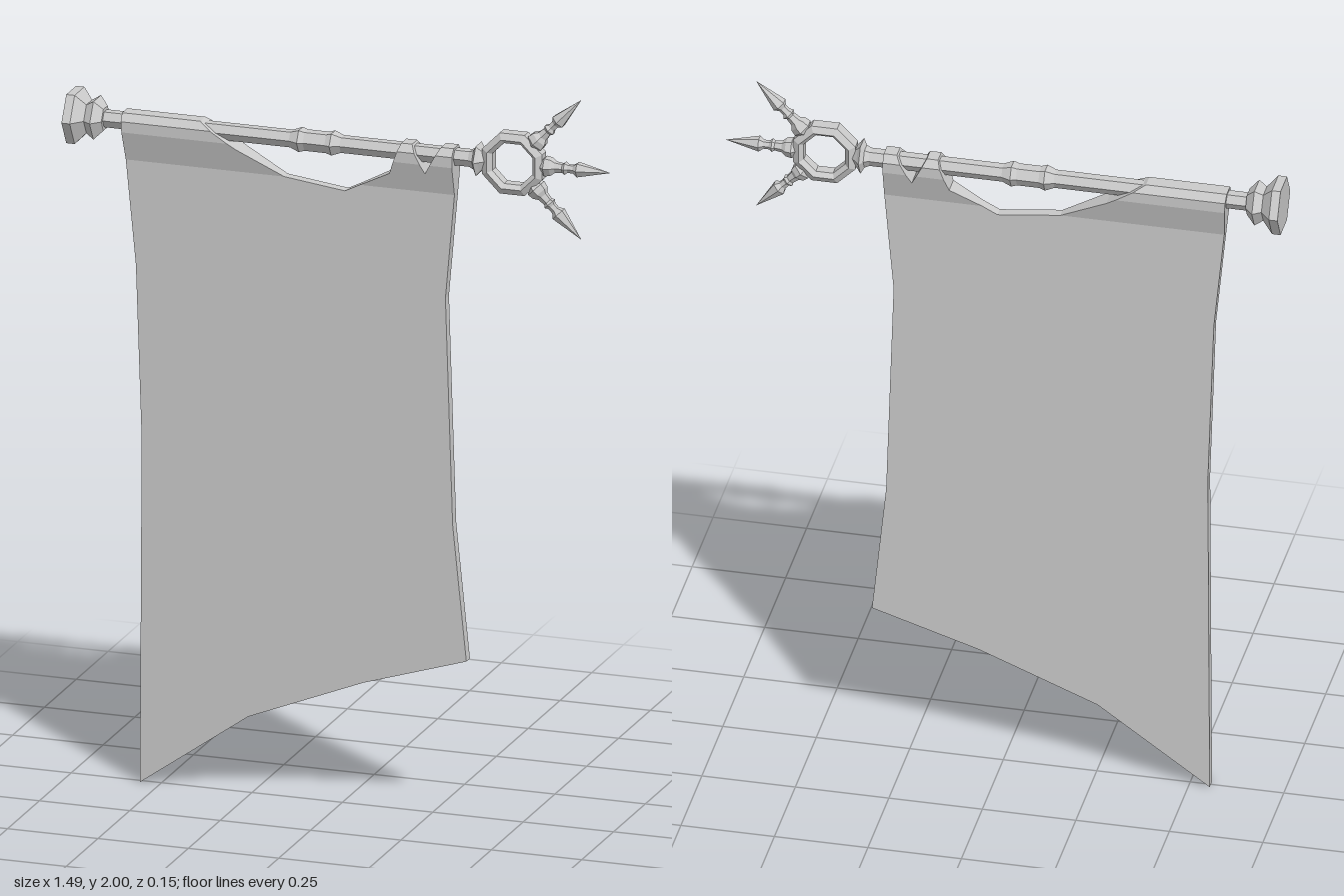
import * as THREE from 'three';

const material = new THREE.MeshStandardMaterial({ color: 0xcccccc, flatShading: true, side: THREE.DoubleSide });
const POLE_Y = 1.808;
const RING_X = 0.475;

// Turned part whose profile [position, radius] runs along +x
function turned(name, profile, sides) {
  const geo = new THREE.LatheGeometry(profile.map(([p, r]) => new THREE.Vector2(r, p)), sides);
  geo.rotateZ(-Math.PI / 2);
  const mesh = new THREE.Mesh(geo, material);
  mesh.name = name;
  return mesh;
}

// Piecewise linear lookup in [key, value] pairs with rising keys
function lookup(table, k) {
  if (k <= table[0][0]) return table[0][1];
  for (let i = 1; i < table.length; i++) {
    const [k0, v0] = table[i - 1], [k1, v1] = table[i];
    if (k <= k1) return v0 + (v1 - v0) * (k - k0) / (k1 - k0);
  }
  return table[table.length - 1][1];
}

// Hanging cloth: a front and back grid, swollen into a sleeve round the pole, with a torn top
function makeCloth() {
  const left = [[0, -0.555], [0.945, -0.55], [1.42, -0.566], [1.706, -0.594], [1.835, -0.602]];
  const right = [[0.43, 0.348], [0.8, 0.31], [1.42, 0.29], [1.706, 0.315], [1.835, 0.315]];
  const thick = [[1.706, 0.014], [1.786, 0.035], [1.815, 0.035], [1.835, 0.02]];
  const top = [[-0.602, 1.835], [-0.386, 1.835], [-0.285, 1.77], [-0.16, 1.706], [0.01, 1.685], [0.138, 1.75],
    [0.17, 1.835], [0.2, 1.835], [0.238, 1.76], [0.28, 1.835], [0.315, 1.835]].map(([x, y]) => [(x + 0.602) / 0.917, y]);
  const bottom = [[0, 0.002], [0.331, 0.214], [0.683, 0.341], [1, 0.43]];
  const levels = [2, 1.815, 1.786, 1.706, 1.42, 0.945, 0.8, -1];

  // Columns at every outline point and wherever the torn edge crosses a level
  const us = [...top, ...bottom].map((p) => p[0]);
  for (let i = 1; i < top.length; i++) {
    const [u0, y0] = top[i - 1], [u1, y1] = top[i];
    for (const l of levels) if ((l - y0) * (l - y1) < 0) us.push(u0 + (u1 - u0) * (l - y0) / (y1 - y0));
  }
  us.sort((a, b) => a - b);
  const cols = us.filter((u, i) => i === 0 || u - us[i - 1] > 1e-5);

  const point = (c, r, side) => {
    const u = cols[c];
    const y = Math.min(lookup(top, u), Math.max(lookup(bottom, u), levels[r]));
    const x = THREE.MathUtils.lerp(lookup(left, y), lookup(right, y), u);
    return new THREE.Vector3(x, y, side * lookup(thick, y));
  };
  const pos = [];
  const tri = (a, b, c) => {
    const area = b.clone().sub(a).cross(c.clone().sub(a)).length();
    if (area > 1e-8) for (const p of [a, b, c]) pos.push(p.x, p.y, p.z);
  };
  const quad = (a, b, c, d) => { tri(a, b, c); tri(a, c, d); };

  const C = cols.length - 1, R = levels.length - 1;
  for (let c = 0; c < C; c++) {
    for (let r = 0; r < R; r++) {
      quad(point(c, r + 1, 1), point(c + 1, r + 1, 1), point(c + 1, r, 1), point(c, r, 1));
      quad(point(c + 1, r + 1, -1), point(c, r + 1, -1), point(c, r, -1), point(c + 1, r, -1));
    }
    // top and bottom edges
    quad(point(c, 0, 1), point(c + 1, 0, 1), point(c + 1, 0, -1), point(c, 0, -1));
    quad(point(c, R, -1), point(c + 1, R, -1), point(c + 1, R, 1), point(c, R, 1));
  }
  // side edges
  for (let r = 0; r < R; r++) {
    quad(point(0, r + 1, -1), point(0, r + 1, 1), point(0, r, 1), point(0, r, -1));
    quad(point(C, r + 1, 1), point(C, r + 1, -1), point(C, r, -1), point(C, r, 1));
  }
  const geo = new THREE.BufferGeometry();
  geo.setAttribute('position', new THREE.Float32BufferAttribute(pos, 3));
  geo.computeVertexNormals();
  const mesh = new THREE.Mesh(geo, material);
  mesh.name = 'cloth';
  return mesh;
}

export function createModel() {
  const group = new THREE.Group();
  group.name = 'banner';
  group.add(makeCloth());

  // Horizontal pole with a banded grip in the middle and a flared collar
  const pole = turned('pole', [[-0.67, 0.024], [-0.14, 0.024], [-0.115, 0.034], [-0.1, 0.029], [-0.04, 0.029],
    [-0.025, 0.034], [0, 0.024], [0.355, 0.024], [0.368, 0.03], [0.377, 0.047], [0.385, 0.036], [0.4, 0.02], [0.4, 0]], 6);

  // Six-sided end cap
  const cap = turned('endCap', [[-0.75, 0], [-0.75, 0.077], [-0.727, 0.077], [-0.7, 0.045], [-0.678, 0.06],
    [-0.655, 0.034], [-0.655, 0]], 6);
  for (const part of [pole, cap]) {
    part.position.y = POLE_Y;
    group.add(part);
  }

  // Eight-sided ring facing the front
  const section = [[0.06, -0.014], [0.072, -0.026], [0.09, -0.016], [0.09, 0.016], [0.072, 0.026], [0.06, 0.014], [0.06, -0.014]];
  const ringGeo = new THREE.LatheGeometry(section.map(([r, z]) => new THREE.Vector2(r, z)), 8, Math.PI / 8);
  ringGeo.rotateX(Math.PI / 2);
  const ring = new THREE.Mesh(ringGeo, material);
  ring.name = 'ring';
  ring.position.set(RING_X, POLE_Y, 0);
  group.add(ring);

  // Three spikes fanning out from the ring
  for (const [name, angle] of [['upperSpike', 0.8], ['middleSpike', 0], ['lowerSpike', -0.8]]) {
    const spike = turned(name, [[0.075, 0.018], [0.088, 0.028], [0.104, 0.025], [0.115, 0.016], [0.135, 0.013],
      [0.142, 0.018], [0.15, 0.012], [0.165, 0.012], [0.177, 0.021], [0.267, 0]], 6);
    spike.position.copy(ring.position);
    spike.rotation.z = angle;
    group.add(spike);
  }
  return group;
}
